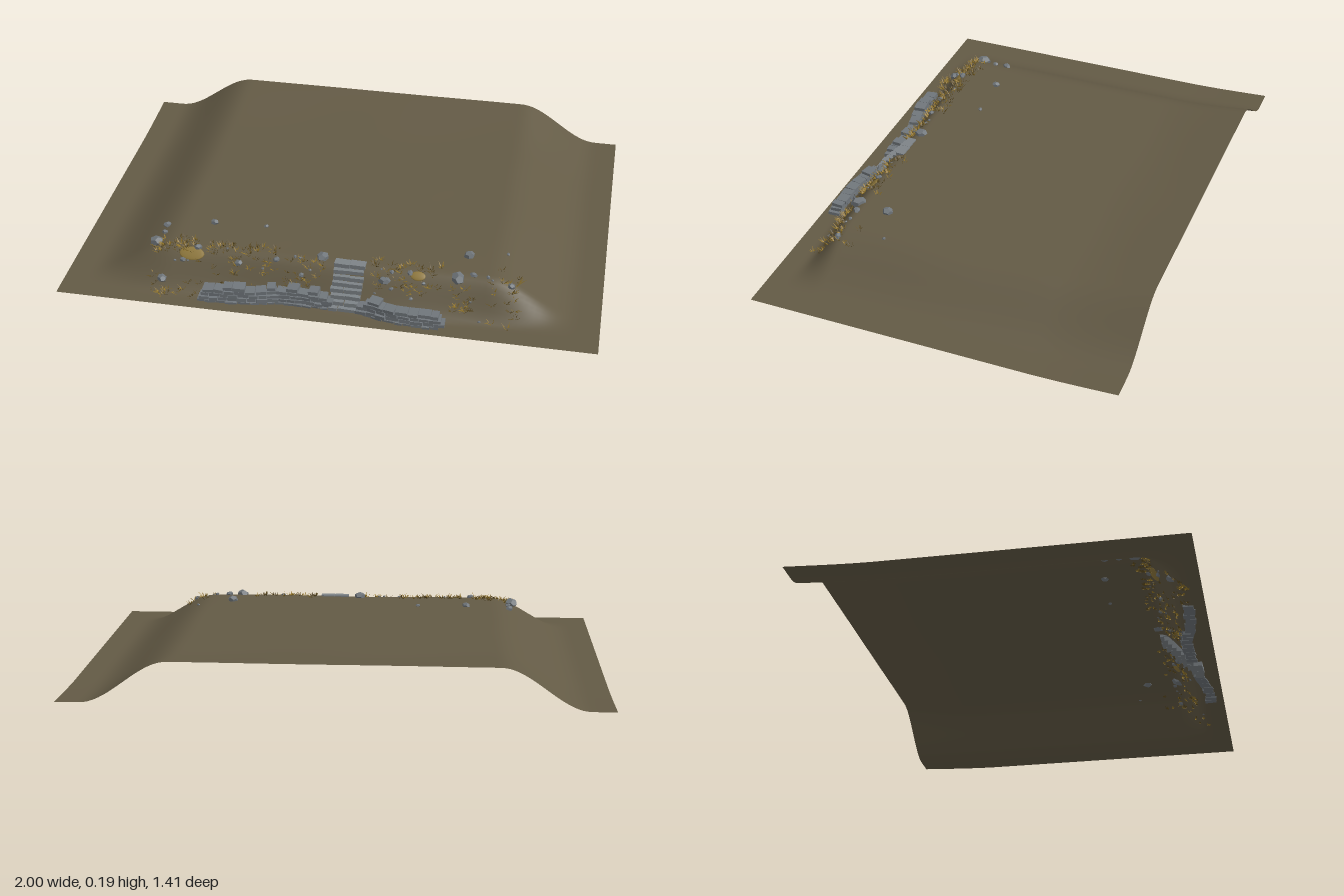
import * as THREE from 'three';
import { mergeGeometries } from 'three/addons/utils/BufferGeometryUtils.js';

const HALF_DEPTH = 0.705;

// Small seeded random generator
let seed = 7;
const rand = (a = 0, b = 1) => {
  seed = (seed * 16807) % 2147483647;
  return a + (b - a) * (seed / 2147483647);
};

// Ground height: a flat terrace with sloping front and sides, lifted gently at the back
const ramp = THREE.MathUtils.smoothstep;
function height(x, z) {
  const sides = 1 - ramp(Math.abs(x), 0.59, 0.91);
  const front = 1 - ramp(z, 0.495, 0.64 + 0.015 * Math.sin(x * 7));
  const back = Math.pow(ramp(-z, 0.36, 0.95), 1) * 1.25;
  const ripple = 0.0015 * Math.sin(x * 9 + z * 4) * Math.cos(z * 7);
  return 0.019 + 0.016 * back + sides * front * (0.132 + 0.03 * back + ripple);
}

function slopeNormal(x, z) {
  const e = 0.01;
  return new THREE.Vector3(height(x - e, z) - height(x + e, z), 2 * e,
    height(x, z - e) - height(x, z + e)).normalize();
}

// Moves a geometry into place
function place(geo, pos, rot = [0, 0, 0], scale = [1, 1, 1]) {
  const q = new THREE.Quaternion().setFromEuler(new THREE.Euler(...rot));
  return geo.applyMatrix4(new THREE.Matrix4().compose(
    new THREE.Vector3(...pos), q, new THREE.Vector3(...scale)));
}

function addMesh(group, name, geo, material) {
  const mesh = new THREE.Mesh(geo, material);
  mesh.name = name;
  group.add(mesh);
}

function groundGeometry() {
  const geo = new THREE.PlaneGeometry(2, HALF_DEPTH * 2, 100, 90).rotateX(-Math.PI / 2);
  const p = geo.attributes.position;
  for (let i = 0; i < p.count; i++) p.setY(i, height(p.getX(i), p.getZ(i)));
  geo.computeVertexNormals();
  return geo;
}

// Dry-stone wall: staggered courses along a gently winding line
function wallGeometry() {
  const line = new THREE.CatmullRomCurve3([[-0.48, 0.645], [-0.3, 0.635], [-0.16, 0.61],
    [0, 0.615], [0.14, 0.625], [0.28, 0.65], [0.44, 0.652]].map(([x, z]) => new THREE.Vector3(x, 0, z)));
  const stones = [];
  for (let row = 0; row < 5; row++) {
    let u = 0.01 + row * 0.007;
    while (u < 0.985 - row * 0.005) {
      const length = rand(0.026, 0.046);
      const mid = u + length / 2 / 0.93;
      const p = line.getPointAt(Math.min(mid, 1));
      const t = line.getTangentAt(Math.min(mid, 1));
      u += (length + 0.002) / 0.93;
      if (p.x > 0.015 && p.x < 0.135) continue;
      if (row === 4 && (p.x > 0.2 || rand() < 0.35)) continue;
      stones.push(place(new THREE.BoxGeometry(length, rand(0.0115, 0.0145), rand(0.036, 0.046)),
        [p.x, 0.022 + row * 0.0135, p.z - row * 0.003 + rand(-0.003, 0.003)],
        [rand(-0.06, 0.06), Math.atan2(-t.z, t.x) + rand(-0.08, 0.08), rand(-0.06, 0.06)]));
    }
  }
  return mergeGeometries(stones);
}

// Stairway: nine slabs stepping up the slope, each split in two stones
function stairGeometry() {
  const slabs = [];
  const n = 9;
  for (let i = 0; i < n; i++) {
    const k = i / (n - 1);
    const split = rand(0.04, 0.08);
    const y = 0.01 + 0.137 * k;
    const z = 0.635 - 0.128 * k;
    [[0.012, split], [split, 0.128]].forEach(([a, b]) => {
      slabs.push(place(new THREE.BoxGeometry(b - a - 0.001, 0.0165, 0.034),
        [(a + b) / 2 + 0.005 + rand(-0.003, 0.003), y, z + rand(-0.002, 0.002)],
        [0, rand(-0.04, 0.04), rand(-0.03, 0.03)]));
    });
  }
  return mergeGeometries(slabs);
}

// Loose rocks: x, z, size
function rockGeometry() {
  const spots = [[-0.66, 0.37, 0.018], [-0.655, 0.42, 0.013], [-0.48, 0.345, 0.016], [-0.67, 0.48, 0.03],
    [-0.28, 0.335, 0.009], [-0.62, 0.6, 0.019], [-0.03, 0.49, 0.025], [0.21, 0.55, 0.024],
    [0.5, 0.385, 0.023], [0.475, 0.52, 0.028], [0.64, 0.335, 0.008], [0.53, 0.5, 0.016],
    [-0.34, 0.54, 0.015], [-0.2, 0.52, 0.013], [-0.5, 0.51, 0.015], [0.67, 0.51, 0.014],
    [-0.55, 0.55, 0.013], [0.3, 0.52, 0.012], [-0.1, 0.55, 0.012]];
  for (let i = 0; i < 20; i++) spots.push([rand(-0.65, 0.68), rand(0.5, 0.62), rand(0.005, 0.009)]);
  return mergeGeometries(spots.map(([x, z, s]) => place(new THREE.DodecahedronGeometry(1, 0),
    [x, height(x, z) + s * 0.25, z], [rand(-0.3, 0.3), rand(0, 6), rand(-0.3, 0.3)],
    [s * rand(0.9, 1.2), s * rand(0.6, 0.8), s * rand(0.8, 1)])));
}

// Tufts of dry grass: fans of thin leaning triangles
function grassGeometry(bands, bladeWidth, bladeLength) {
  const v = [];
  for (const [x0, x1, z0, z1, count] of bands) {
    for (let i = 0; i < count; i++) {
      const x = rand(x0, x1), z = rand(z0, z1), y = height(x, z);
      if (x > 0 && x < 0.15) continue;
      const n = slopeNormal(x, z);
      for (let b = 0; b < 9; b++) {
        const a = rand(0, Math.PI * 2), len = bladeLength * rand(0.6, 1.2);
        const c = Math.cos(a), s = Math.sin(a), r = rand(0, 0.007), w = bladeWidth / 2;
        const bx = x + c * r, bz = z + s * r;
        const lean = rand(0.4, 0.95);
        v.push(bx - s * w, y - 0.004, bz + c * w, bx + s * w, y - 0.004, bz - c * w,
          bx + (c * lean + n.x * 0.5) * len, y + len * rand(0.35, 0.7), bz + (s * lean + n.z * 0.5) * len);
      }
    }
  }
  const geo = new THREE.BufferGeometry();
  geo.setAttribute('position', new THREE.Float32BufferAttribute(v, 3));
  geo.computeVertexNormals();
  return geo;
}

// Bare sandy patch lying on the slope
function patchGeometry(x, z, rx, rz) {
  const q = new THREE.Quaternion().setFromUnitVectors(new THREE.Vector3(0, 1, 0), slopeNormal(x, z));
  return new THREE.SphereGeometry(1, 16, 8).applyMatrix4(new THREE.Matrix4().compose(
    new THREE.Vector3(x, height(x, z), z), q, new THREE.Vector3(rx, 0.0045, rz)));
}

export function createModel() {
  seed = 7;
  const group = new THREE.Group();
  group.name = 'terracedHillside';
  const material = (name, color, extra = {}) => {
    const m = new THREE.MeshStandardMaterial({ color, ...extra });
    m.name = name;
    return m;
  };
  const earth = material('earth', 0x635a45, { side: THREE.DoubleSide });
  const stone = material('stone', 0x70767b, { flatShading: true });
  const paleStone = material('paleStone', 0x7d8387, { flatShading: true });
  const sand = material('sand', 0x8f783c);
  const straw = material('straw', 0x917428, { side: THREE.DoubleSide });
  const darkStraw = material('darkStraw', 0x5c4a1e, { side: THREE.DoubleSide });

  addMesh(group, 'ground', groundGeometry(), earth);
  addMesh(group, 'stoneWall', wallGeometry(), stone);
  addMesh(group, 'stairs', stairGeometry(), paleStone);
  addMesh(group, 'looseRocks', rockGeometry(), stone);
  addMesh(group, 'leftSandPatch', patchGeometry(0.33, 0.525, 0.028, 0.018), sand);
  addMesh(group, 'rightSandPatch', patchGeometry(-0.52, 0.53, 0.048, 0.026), sand);

  // Grass bands: xMin, xMax, zMin, zMax, number of tufts
  const bands = [[-0.68, -0.5, 0.46, 0.53, 16], [-0.5, -0.02, 0.47, 0.56, 30], [-0.67, -0.48, 0.58, 0.65, 9],
    [-0.45, 0, 0.56, 0.6, 12], [0.16, 0.42, 0.47, 0.57, 18], [0.44, 0.56, 0.53, 0.6, 10],
    [0.6, 0.7, 0.44, 0.63, 10]];
  addMesh(group, 'dryGrass', grassGeometry(bands, 0.006, 0.024), straw);
  addMesh(group, 'darkGrass', grassGeometry(bands, 0.006, 0.021), darkStraw);
  return group;
}
